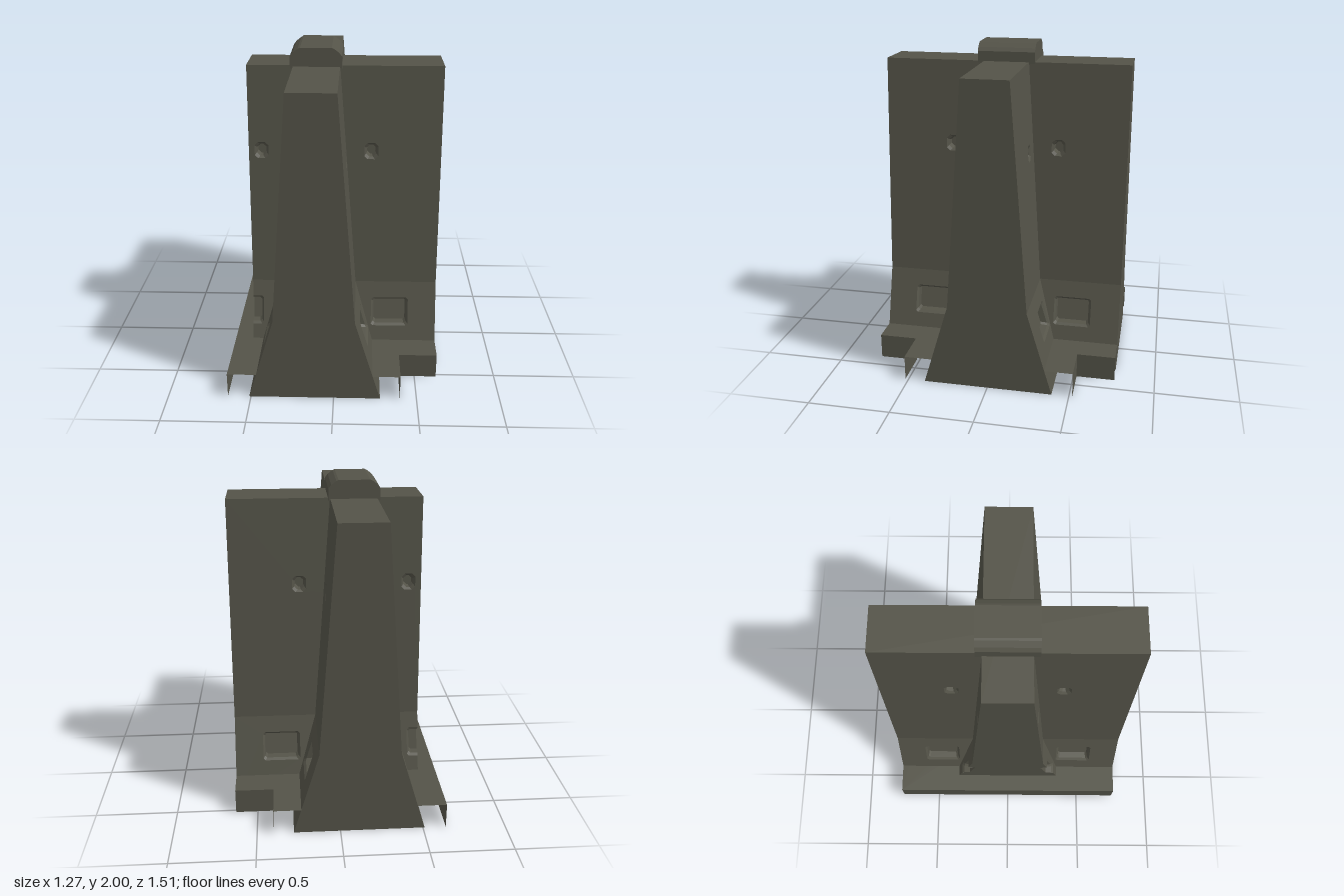
import * as THREE from 'three';

const concrete = new THREE.MeshStandardMaterial({ color: 0x545348, side: THREE.DoubleSide });
concrete.name = 'weathered concrete';

const CX = -0.115, KNEE = 0.52, TOP = 1.89, SLAB = 0.155;

// Half thickness of a wall at height y
const halfWidth = (y) => y < KNEE
  ? 0.395 + (0.24 - 0.395) * y / KNEE
  : 0.24 + (0.138 - 0.24) * (y - KNEE) / (TOP - KNEE);

// Flat-shaded mesh from polygons of points (fan triangulated)
function polyMesh(name, polys) {
  const pos = [];
  for (const p of polys)
    for (let i = 1; i < p.length - 1; i++) pos.push(...p[0], ...p[i], ...p[i + 1]);
  return triMesh(name, pos);
}

function triMesh(name, pos) {
  const g = new THREE.BufferGeometry();
  g.setAttribute('position', new THREE.Float32BufferAttribute(pos, 3));
  g.computeVertexNormals();
  const m = new THREE.Mesh(g, concrete);
  m.name = name;
  return m;
}

// Flat outline with holes, each 2D point carried into space by map(u, v)
function sheet(name, outline, holes, map) {
  const v = (l) => l.map(([a, b]) => new THREE.Vector2(a, b));
  const o = v(outline), h = holes.map(v), all = [o, ...h].flat();
  const pos = [];
  for (const f of THREE.ShapeUtils.triangulateShape(o, h))
    for (const i of f) pos.push(...map(all[i].x, all[i].y));
  return triMesh(name, pos);
}

// Rectangle with cut corners, shrunk by inset, never reaching past u = min
function ring([a, A, b, B, c], inset, min) {
  a += inset; A -= inset; b += inset; B -= inset;
  return [[a + c, b], [A - c, b], [A, b + c], [A, B - c], [A - c, B], [a + c, B], [a, B - c], [a, b + c]]
    .map(([u, y]) => [Math.max(u, min), y]);
}

// Recess sunk into a wall side
function pocket(name, spec, min, map) {
  const steps = [[0, 0], [0.012, 0.012], [0.018, 0.05]];
  const loops = steps.map(([inset, d]) => ring(spec, inset, min).map(([u, y]) => ({ u, p: map(u, y, d) })));
  const polys = [loops[2].map((q) => q.p)];
  for (let k = 0; k < 2; k++)
    for (let i = 0; i < 8; i++) {
      const j = (i + 1) % 8, l = loops[k], n = loops[k + 1];
      if (l[i].u === min && l[j].u === min) continue;
      polys.push([l[i].p, l[j].p, n[j].p, n[i].p]);
    }
  return polyMesh(name, polys);
}

// One wall: place(u, offset, y) sets its direction
function wall(name, u0, u1, low, high, place) {
  const g = new THREE.Group();
  g.name = name;
  for (const s of [-1, 1]) {
    const map = (u, y, d = 0) => place(u, s * (halfWidth(y) - d), y);
    const cut = low.filter((p) => p[0] < u0), whole = low.filter((p) => p[0] >= u0);
    const outline = [[u0, 0], [u1, 0], [u1, KNEE], [u0, KNEE]];
    for (const p of cut) outline.push(...ring(p, 0, u0).slice(0, 6).reverse());
    g.add(sheet('lowerSide', outline, whole.map((p) => ring(p, 0, u0)), map));
    g.add(sheet('upperSide', [[u0, KNEE], [u1, KNEE], [u1, TOP], [u0, TOP]],
      high.map((p) => ring(p, 0, u0)), map));
    for (const p of low) g.add(pocket('liftingPocket', p, u0, map));
    for (const p of high) g.add(pocket('upperPocket', p, u0, map));
  }
  // Ends, notched where a pocket runs out through them
  for (const u of [u0, u1]) {
    const right = [[0, 0]];
    const open = u === u0 ? low.find((p) => p[0] < u0) : null;
    if (open) right.push([open[2], 0], [open[2] + 0.018, 0.05], [open[3] - 0.018, 0.05], [open[3], 0]);
    right.push([KNEE, 0], [TOP, 0]);
    const pts = right.map(([y, d]) => [halfWidth(y) - d, y]);
    const all = [...pts, ...pts.map(([w, y]) => [-w, y]).reverse()];
    g.add(sheet('wallEnd', all, [], (w, y) => place(u, w, y)));
  }
  const w = halfWidth(TOP);
  g.add(polyMesh('wallTop', [[place(u0, -w, TOP), place(u1, -w, TOP), place(u1, w, TOP), place(u0, w, TOP)]]));
  return g;
}

// Underside made of tapered square hollows
function waffle(x0, x1, z0, z1, nx, nz) {
  const polys = [], dx = (x1 - x0) / nx, dz = (z1 - z0) / nz;
  for (let i = 0; i < nx; i++)
    for (let k = 0; k < nz; k++) {
      const cx = x0 + (i + 0.5) * dx, cz = z0 + (k + 0.5) * dz;
      const square = (f, y) => [[-1, -1], [1, -1], [1, 1], [-1, 1]]
        .map(([a, b]) => [cx + a * f * dx / 2, y, cz + b * f * dz / 2]);
      const rim = square(1, 0.002), roof = square(0.5, 0.12);
      polys.push(roof);
      for (let j = 0; j < 4; j++) {
        const n = (j + 1) % 4;
        polys.push([rim[j], rim[n], roof[n], roof[j]]);
      }
    }
  return polyMesh('hollowUnderside', polys);
}

export function createModel() {
  const model = new THREE.Group();
  model.name = 'crossBarrier';

  // Wall running front to back
  model.add(wall('longWall', -0.755, 0.755,
    [[-0.575, -0.34, 0.245, 0.42, 0.012], [0.34, 0.575, 0.245, 0.42, 0.012]],
    [[-0.375, -0.29, 1.325, 1.425, 0.02], [0.29, 0.375, 1.325, 1.425, 0.02]],
    (u, o, y) => [CX + o, y, u]));

  // Wall running side to side
  model.add(wall('crossWall', -0.53, 0.635,
    [[-0.69, -0.46, 0.245, 0.42, 0.012], [0.225, 0.46, 0.245, 0.42, 0.012]],
    [[-0.495, -0.41, 1.325, 1.425, 0.02], [0.17, 0.255, 1.325, 1.425, 0.02]],
    (u, o, y) => [u, y, o]));

  // Chamfered cap over the crossing
  const cap = new THREE.Shape([[-0.27, 1.88], [0.035, 1.88], [0.035, 1.95], [0.018, 1.972], [-0.012, 1.995],
    [-0.025, 2], [-0.21, 2], [-0.223, 1.995], [-0.253, 1.972], [-0.27, 1.95]]
    .map(([x, y]) => new THREE.Vector2(x, y)));
  const capGeo = new THREE.ExtrudeGeometry(cap, { depth: 0.35, bevelEnabled: false });
  capGeo.translate(0, 0, -0.175);
  const capMesh = new THREE.Mesh(capGeo, concrete);
  capMesh.name = 'cap';
  model.add(capMesh);

  // Foot slab: top sheet with hanging skirts and dividers
  const slab = new THREE.Group();
  slab.name = 'footSlab';
  slab.add(sheet('slabTop', [[-0.64, -0.755], [0.4, -0.755], [0.4, -0.52], [0.635, -0.52],
    [0.635, 0.52], [0.4, 0.52], [0.4, 0.755], [-0.64, 0.755]], [], (x, z) => [x, SLAB, z]));
  const skirts = [[-0.64, -0.755, -0.64, 0.755], [-0.64, -0.01, -0.5, -0.01]];
  for (const s of [-1, 1])
    skirts.push([0.4, s * 0.52, 0.4, s * 0.755], [0.4, s * 0.52, 0.635, s * 0.52],
      [-0.64, s * 0.52, -0.5, s * 0.52]);
  slab.add(polyMesh('skirts', skirts.map(([x, z, X, Z]) => [[x, 0, z], [X, 0, Z], [X, SLAB, Z], [x, SLAB, z]])));
  model.add(slab);

  // Underside of both walls
  model.add(waffle(-0.51, 0.28, -0.755, 0.755, 3, 6));
  model.add(waffle(0.28, 0.635, -0.395, 0.395, 1, 3));
  return model;
}
